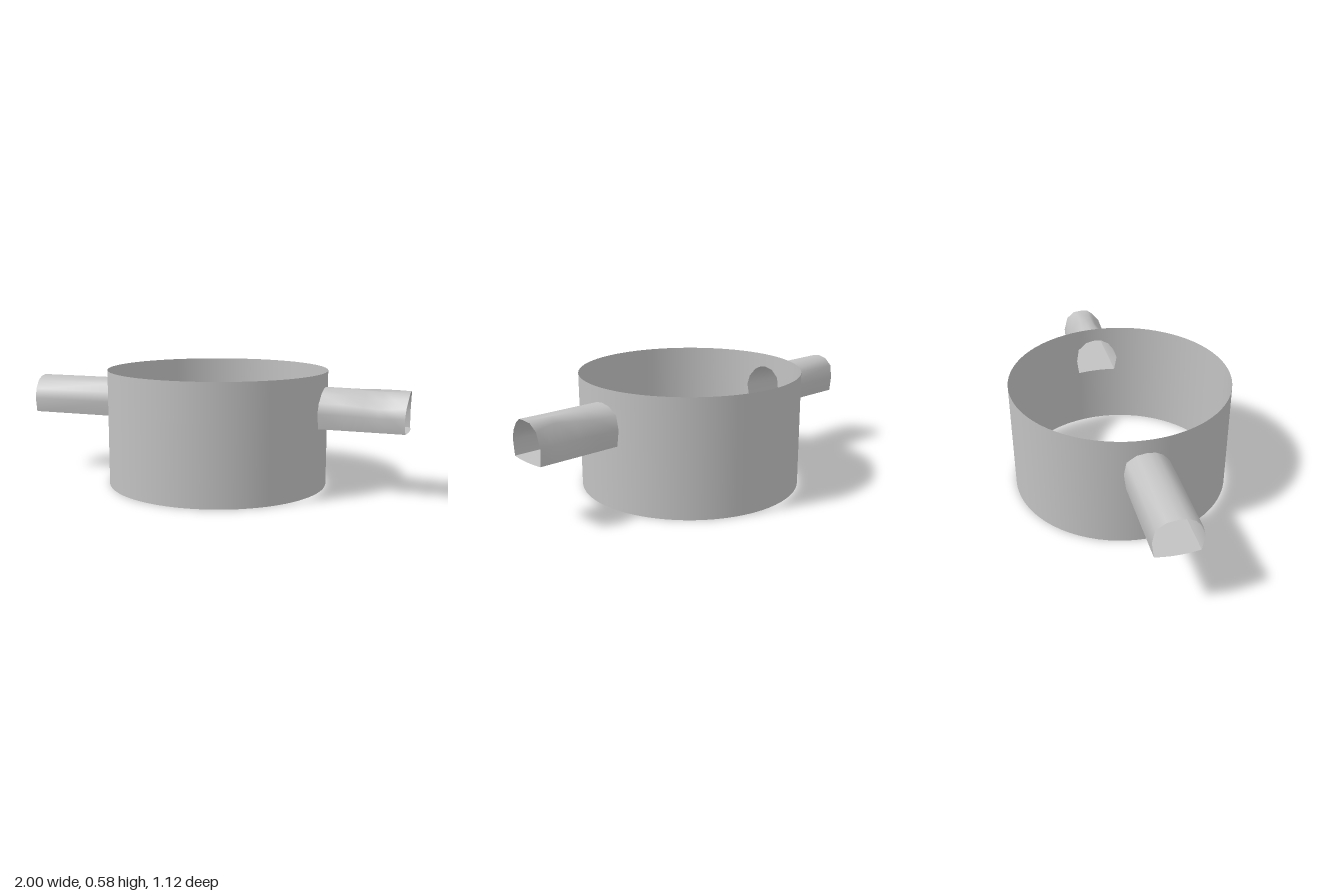
import * as THREE from 'three';

const R = 0.56, H = 0.583, CX = 0.03, FLOOR = 0.32;

// Tunnel cross-sections as [z, y], from the front floor edge over the arch to the back
const arch = [[0.10, FLOOR], [0.114, 0.395], [0.10, 0.445], [0.065, 0.488], [0.03, 0.507],
  [-0.01, 0.513], [-0.06, 0.503], [-0.105, 0.468], [-0.117, 0.40], [-0.107, FLOOR]];
const dented = [[0.10, FLOOR], [0.112, 0.39], [0.092, 0.43], [0.055, 0.47], [0.028, 0.507],
  [-0.005, 0.499], [-0.038, 0.51], [-0.066, 0.484], [-0.105, 0.40], [-0.107, FLOOR]];
const floorLine = Array.from({ length: 7 }, (_, i) => [-0.107 + 0.207 * i / 6, FLOOR]);

// Piecewise linear height along z, clamped at both ends (points sorted by z)
function heightAt(points, z) {
  if (z <= points[0][0]) return points[0][1];
  for (let i = 1; i < points.length; i++) {
    const [z0, y0] = points[i - 1], [z1, y1] = points[i];
    if (z <= z1) return y0 + (y1 - y0) * (z - z0) / (z1 - z0);
  }
  return points[points.length - 1][1];
}

function makeGeometry(positions, index, normals) {
  const g = new THREE.BufferGeometry();
  g.setAttribute('position', new THREE.Float32BufferAttribute(positions, 3));
  g.setIndex(index);
  if (normals) g.setAttribute('normal', new THREE.Float32BufferAttribute(normals, 3));
  else g.computeVertexNormals();
  return g;
}

// Thin round wall, made of columns that leave an arched opening on each side
function wallGeometry() {
  const upper = arch.slice(1, 9).reverse();
  const lower = [arch[8], arch[9], arch[0], arch[1]];
  const angles = Array.from({ length: 72 }, (_, i) => i * Math.PI * 2 / 72);
  for (const [z] of arch) {
    const a = Math.asin(z / R);
    angles.push((a + Math.PI * 2) % (Math.PI * 2), Math.PI - a);
  }
  angles.sort((a, b) => a - b);
  angles.push(Math.PI * 2);

  const positions = [], normals = [], index = [];
  angles.forEach((a, i) => {
    const c = Math.cos(a), s = Math.sin(a), z = R * s;
    for (const y of [0, heightAt(lower, z), heightAt(upper, z), H]) {
      positions.push(CX + R * c, y, z);
      normals.push(c, 0, s);
    }
    if (i === 0) return;
    for (const row of [0, 2]) {
      const p = (i - 1) * 4 + row, q = i * 4 + row;
      index.push(p, p + 1, q, q, p + 1, q + 1);
    }
  });
  return makeGeometry(positions, index, normals);
}

// Sheet swept outward from the wall; both of its ends follow the wall's curve
function sheetGeometry(side, length, rings) {
  const positions = [], index = [], n = rings[0].profile.length;
  rings.forEach(({ t, profile }, r) => {
    profile.forEach(([z, y], k) => {
      positions.push(CX + side * (Math.sqrt(R * R - z * z) + t * length), y, z);
      if (r === 0 || k === 0) return;
      const d = r * n + k, c = d - 1, b = d - n, a = b - 1;
      if (side > 0) index.push(a, c, b, b, c, d);
      else index.push(a, b, c, b, d, c);
    });
  });
  return makeGeometry(positions, index);
}

export function createModel() {
  const grey = new THREE.MeshStandardMaterial({ color: 0xc2c2c2, side: THREE.DoubleSide });
  grey.name = 'light grey';
  const model = new THREE.Group();
  model.name = 'ringWithTunnels';
  const add = (parent, name, geometry) => {
    const mesh = new THREE.Mesh(geometry, grey);
    mesh.name = name;
    parent.add(mesh);
  };

  add(model, 'roundWall', wallGeometry());

  // The left tunnel is dented partway along; the right one is straight
  const dents = [[0, 0], [0.3, 0.1], [0.5, 0.6], [0.7, 1], [0.85, 0.8], [1, 0.3]];
  const straight = [[0, 0], [1, 0]];
  for (const [name, side, length, steps] of [['leftTunnel', 1, 0.41, dents], ['rightTunnel', -1, 0.47, straight]]) {
    const tunnel = new THREE.Group();
    tunnel.name = name;
    const rings = steps.map(([t, dent]) => ({
      t,
      profile: arch.map(([z, y], i) => [z + (dented[i][0] - z) * dent, y + (dented[i][1] - y) * dent]),
    }));
    add(tunnel, 'archedRoof', sheetGeometry(side, length, rings));
    add(tunnel, 'flatFloor', sheetGeometry(side, length, [0, 1].map((t) => ({ t, profile: floorLine }))));
    model.add(tunnel);
  }
  return model;
}
